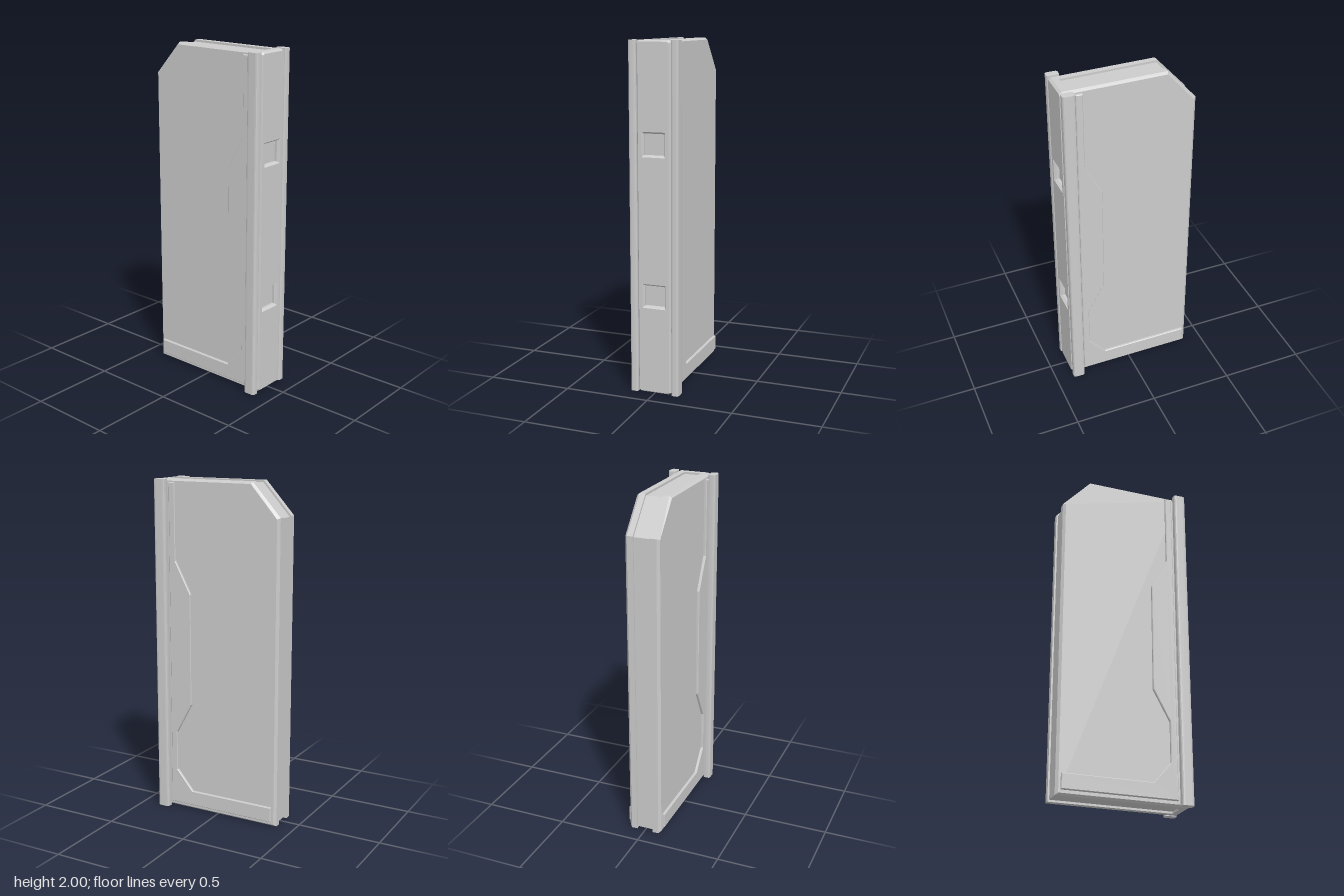
import * as THREE from 'three';

const material = new THREE.MeshStandardMaterial({ color: 0xcccccc, flatShading: true });

function add(group, name, geometry) {
  const mesh = new THREE.Mesh(geometry, material);
  mesh.name = name;
  group.add(mesh);
}

// Mirrors a geometry across x = 0 and restores the winding.
function mirrorX(geometry) {
  const g = geometry.index ? geometry.toNonIndexed() : geometry.clone();
  g.scale(-1, 1, 1);
  const p = g.attributes.position;
  const a = new THREE.Vector3(), b = new THREE.Vector3();
  for (let i = 0; i < p.count; i += 3) {
    a.fromBufferAttribute(p, i + 1);
    b.fromBufferAttribute(p, i + 2);
    p.setXYZ(i + 1, b.x, b.y, b.z);
    p.setXYZ(i + 2, a.x, a.y, a.z);
  }
  g.computeVertexNormals();
  return g;
}

function addPair(group, name, geometry) {
  add(group, 'left' + name, geometry);
  add(group, 'right' + name, mirrorX(geometry));
}

// Extrudes a [z, y] outline along x, starting at x0; the bevel stays within the outline.
function sideExtrude(points, x0, x1, bevel = 0) {
  const shape = new THREE.Shape(points.map(([z, y]) => new THREE.Vector2(-z, y)));
  const g = new THREE.ExtrudeGeometry(shape, {
    depth: x1 - x0 - 2 * bevel, bevelEnabled: bevel > 0, bevelSegments: 1,
    bevelSize: bevel, bevelThickness: bevel, bevelOffset: -bevel,
  });
  return g.rotateY(Math.PI / 2).translate(x0 + bevel, 0, 0);
}

// Lofts convex [z, y] rings at the given x positions into a closed solid.
function loftX(sections) {
  const rings = sections.map(([x, pts]) => pts.map(([z, y]) => [x, y, z]));
  const n = rings[0].length, last = rings.length - 1, v = [];
  const tri = (a, b, c) => v.push(...a, ...b, ...c);
  for (let k = 0; k < last; k++) {
    for (let i = 0; i < n; i++) {
      const j = (i + 1) % n;
      tri(rings[k][i], rings[k + 1][i], rings[k + 1][j]);
      tri(rings[k][i], rings[k + 1][j], rings[k][j]);
    }
  }
  for (let i = 1; i < n - 1; i++) {
    tri(rings[0][0], rings[0][i], rings[0][i + 1]);
    tri(rings[last][0], rings[last][i + 1], rings[last][i]);
  }
  const g = new THREE.BufferGeometry();
  g.setAttribute('position', new THREE.Float32BufferAttribute(v, 3));
  g.computeVertexNormals();
  return g;
}

// Front plate with clipped corners and two bevelled square windows.
function frontPlate() {
  const outline = [
    [0.1, 0.012], [0.1, 1.988], [0.085, 2], [-0.085, 2],
    [-0.1, 1.988], [-0.1, 0.012], [-0.085, 0], [0.085, 0],
  ];
  const shape = new THREE.Shape(outline.map(p => new THREE.Vector2(...p)));
  const h = 0.06;
  for (const y of [0.575, 1.435]) {
    shape.holes.push(new THREE.Path([
      new THREE.Vector2(-h, y - h), new THREE.Vector2(-h, y + h),
      new THREE.Vector2(h, y + h), new THREE.Vector2(h, y - h),
    ]));
  }
  return new THREE.ExtrudeGeometry(shape, {
    depth: 0.015, bevelThickness: 0.015, bevelSize: 0.01, bevelOffset: -0.01, bevelSegments: 1,
  }).translate(0, 0, 0.36);
}

// Upright post with rounded corners.
function post() {
  const x0 = 0.101, x1 = 0.146, z0 = 0.32, z1 = 0.392, r = 0.015;
  const s = new THREE.Shape();
  s.moveTo(x0 + r, -z1);
  s.lineTo(x1 - r, -z1);
  s.quadraticCurveTo(x1, -z1, x1, -z1 + r);
  s.lineTo(x1, -z0 - r);
  s.quadraticCurveTo(x1, -z0, x1 - r, -z0);
  s.lineTo(x0 + r, -z0);
  s.quadraticCurveTo(x0, -z0, x0, -z0 - r);
  s.lineTo(x0, -z1 + r);
  s.quadraticCurveTo(x0, -z1, x0 + r, -z1);
  return new THREE.ExtrudeGeometry(s, { depth: 2, bevelEnabled: false, curveSegments: 3 })
    .rotateX(-Math.PI / 2);
}

export function createModel() {
  const group = new THREE.Group();
  group.name = 'panelledSlab';

  // Core, set back to leave a shallow channel along top, back and bottom
  add(group, 'core', sideExtrude([
    [0.36, 2], [0.34, 2], [0.34, 1.988], [-0.216, 1.988], [-0.382, 1.804],
    [-0.382, 0.012], [0.34, 0.012], [0.34, 0], [0.36, 0],
  ], -0.05, 0.05));

  // Side slabs with a chamfered outer rim
  const full = [[0.36, 2], [-0.22, 2], [-0.392, 1.81], [-0.392, 0], [0.36, 0]];
  const inset = [[0.36, 1.988], [-0.215, 1.988], [-0.377, 1.803], [-0.377, 0.012], [0.36, 0.012]];
  addPair(group, 'SideSlab', loftX([[0.05, full], [0.085, full], [0.1, inset]]));

  add(group, 'frontPlate', frontPlate());

  // Raised trim on both sides
  addPair(group, 'SideTrim', sideExtrude([
    [0.31, 1.98], [0.27, 1.98], [0.27, 1.53], [0.17, 1.34], [0.17, 0.67], [0.27, 0.485],
    [0.27, 0.245], [0.165, 0.12], [-0.365, 0.12], [-0.365, 0.03], [0.31, 0.03],
  ], 0.095, 0.115, 0.004));

  addPair(group, 'Post', post());
  return group;
}
